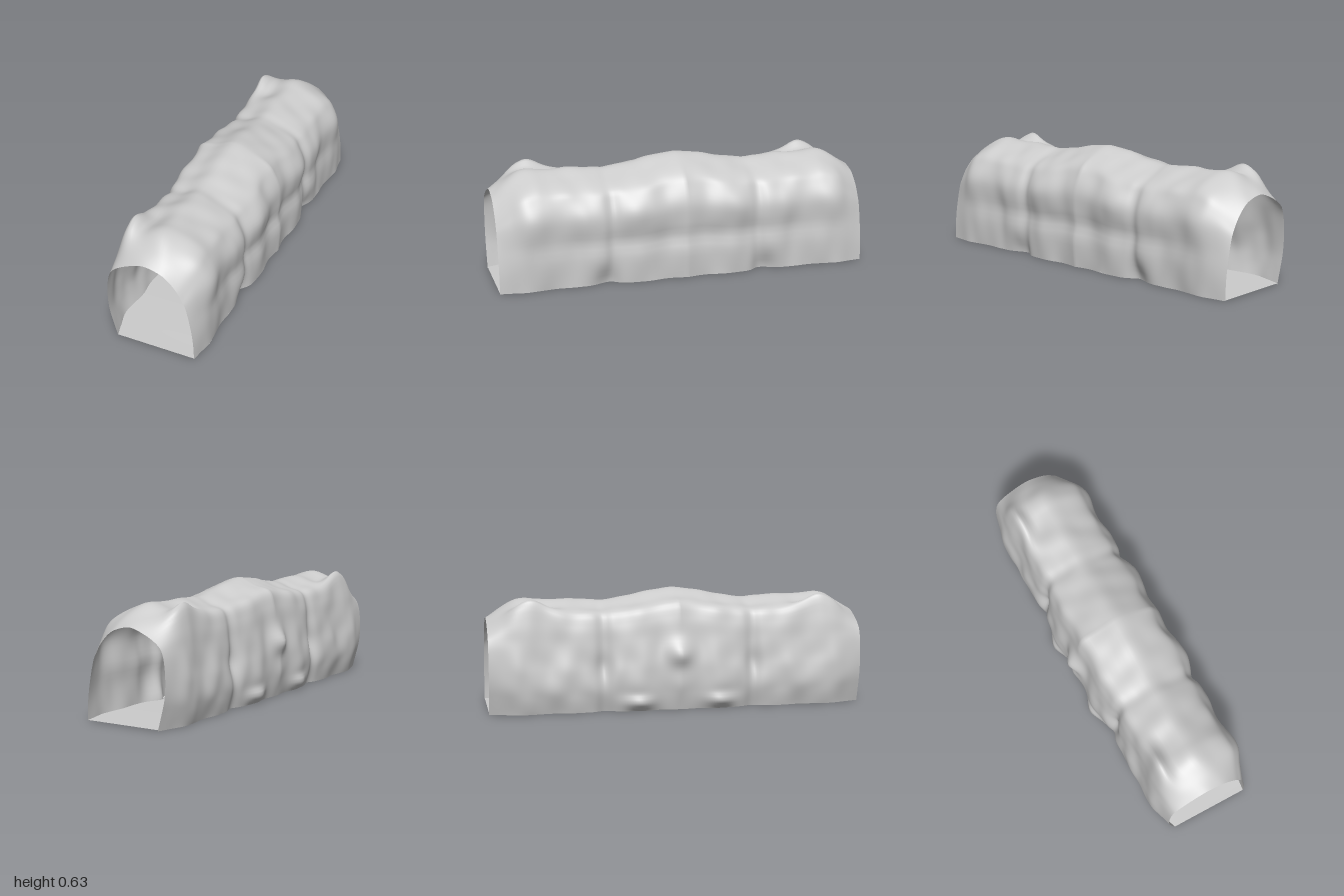
import * as THREE from 'three';

const V = (x, y) => new THREE.Vector2(x, y);

// Cross-sections, from the right foot over the roof to the left foot
const mouth = new THREE.SplineCurve([
  V(-0.176, 0), V(-0.198, 0.08), V(-0.215, 0.15), V(-0.222, 0.22), V(-0.22, 0.3), V(-0.208, 0.37),
  V(-0.18, 0.415), V(-0.11, 0.457), V(-0.02, 0.487), V(0.06, 0.473), V(0.11, 0.447),
  V(0.16, 0.395), V(0.19, 0.345), V(0.21, 0.3), V(0.232, 0.2), V(0.246, 0.1), V(0.25, 0),
]);
const middle = new THREE.SplineCurve([
  V(-0.228, 0), V(-0.248, 0.08), V(-0.258, 0.15), V(-0.254, 0.23), V(-0.242, 0.31), V(-0.23, 0.4),
  V(-0.217, 0.49), V(-0.186, 0.565), V(-0.1, 0.592), V(0, 0.627), V(0.1, 0.593),
  V(0.195, 0.545), V(0.238, 0.49), V(0.274, 0.4), V(0.272, 0.28), V(0.273, 0.13), V(0.267, 0),
]);

// Distance from the centre, then: blend of mouth to middle, right width, left width, roof height
const stations = [
  [0, 1, 1.01, 1.01, 1.0], [0.1, 1, 0.97, 0.96, 0.98], [0.2, 1, 1.02, 1.01, 0.95],
  [0.27, 1, 0.99, 1.02, 0.932], [0.35, 1, 0.95, 0.97, 0.915], [0.4, 1, 0.87, 0.92, 0.905],
  [0.45, 1, 0.94, 0.98, 0.91], [0.53, 1, 0.96, 0.98, 0.915], [0.6, 1, 0.97, 0.95, 0.92],
  [0.7, 1, 0.94, 0.95, 0.92], [0.8, 0.97, 0.99, 1.0, 0.94], [0.86, 0.8, 1.02, 1.02, 0.96],
  [0.93, 0.4, 1.01, 1.01, 0.99], [1, 0, 1, 1, 1],
];
const stationCurve = new THREE.CubicInterpolant(
  stations.map((s) => s[0]), stations.flatMap((s) => s.slice(1)), 4, new Float32Array(4));

const bump = (d, c, w) => Math.exp(-(((d - c) / w) ** 2));

// Soft rock lumps across the ring (s) and along the tunnel (d)
function rock(s, d) {
  return 0.003 * Math.sin(d * 15 + 5 * s) * Math.sin(s * 17 + 4 * d)
    + 0.003 * Math.sin(d * 27 - 9 * s) * Math.sin(s * 31 + 1.3)
    + 0.001 * Math.sin(d * 47 + 23 * s);
}

const RING = 72, LENGTH = 160;

// Point on the shell: s runs round the ring, z along the tunnel
function shellPoint(s, z) {
  const d = Math.abs(z);
  const [mix, right, left, height] = stationCurve.evaluate(d);
  const blend = THREE.MathUtils.clamp(mix, 0, 1);
  const p = mouth.getPoint(s).lerp(middle.getPoint(s), blend);
  const side = THREE.MathUtils.smoothstep(p.x, -0.12, 0.12);
  p.x *= THREE.MathUtils.lerp(right, left, side);
  p.y *= height;

  // Lumps pushed away from the tunnel axis
  const out = V(p.x, Math.max(p.y - 0.25, 0) * 0.8).normalize();
  p.addScaledVector(out, rock(s, d) * blend);

  // Boulder, foot stone, waist and raised shoulder on the right
  p.x -= 0.047 * bump(d, 0, 0.07) * bump(p.y, 0.3, 0.06) * (1 - side);
  p.x -= 0.035 * bump(d, 0.22, 0.07) * bump(p.y, 0.045, 0.035) * (1 - side);
  p.x += 0.018 * bump(d, 0.4, 0.05) * bump(p.y, 0.24, 0.06) * (1 - side);
  p.y += 0.075 * bump(d, 0.77, 0.11) * bump(p.x, -0.185, 0.05) * bump(p.y, 0.55, 0.1);

  // Hump, waist and pinched foot on the left
  p.x += 0.01 * bump(d, 0.25, 0.08) * bump(p.y, 0.39, 0.08) * side;
  p.x -= 0.014 * bump(d, 0, 0.75) * bump(p.y, 0.225, 0.045) * side * blend;
  p.x -= 0.035 * bump(d, 0.44, 0.06) * bump(p.y, 0, 0.08) * side;
  return new THREE.Vector3(p.x, Math.max(p.y, 0), z);
}

// Surface through a grid of points
function gridGeometry(cols, rows, point) {
  const pos = [], index = [];
  for (let j = 0; j <= rows; j++) {
    for (let i = 0; i <= cols; i++) {
      pos.push(...point(i / cols, -1 + (2 * j) / rows).toArray());
      if (i === cols || j === rows) continue;
      const a = j * (cols + 1) + i, b = a + cols + 1;
      index.push(a, b, a + 1, a + 1, b, b + 1);
    }
  }
  const g = new THREE.BufferGeometry();
  g.setAttribute('position', new THREE.Float32BufferAttribute(pos, 3));
  g.setIndex(index);
  g.computeVertexNormals();
  return g;
}

export function createModel() {
  const group = new THREE.Group();
  group.name = 'caveTunnel';
  const material = new THREE.MeshStandardMaterial({ color: 0xcccccc, side: THREE.DoubleSide });

  // Rough rock walls and roof, open at both ends
  const shell = new THREE.Mesh(gridGeometry(RING, LENGTH, shellPoint), material);
  shell.name = 'rockShell';

  // Nearly flat floor that follows the feet of the walls
  const floorPoint = (s, z) => {
    const p = shellPoint(0, z).lerp(shellPoint(1, z), s);
    p.y = 0.008 - 0.003 * s + 0.002 * Math.cos(z * 9);
    return p;
  };
  const floor = new THREE.Mesh(gridGeometry(4, LENGTH, floorPoint), material);
  floor.name = 'floor';

  group.add(shell, floor);
  return group;
}
